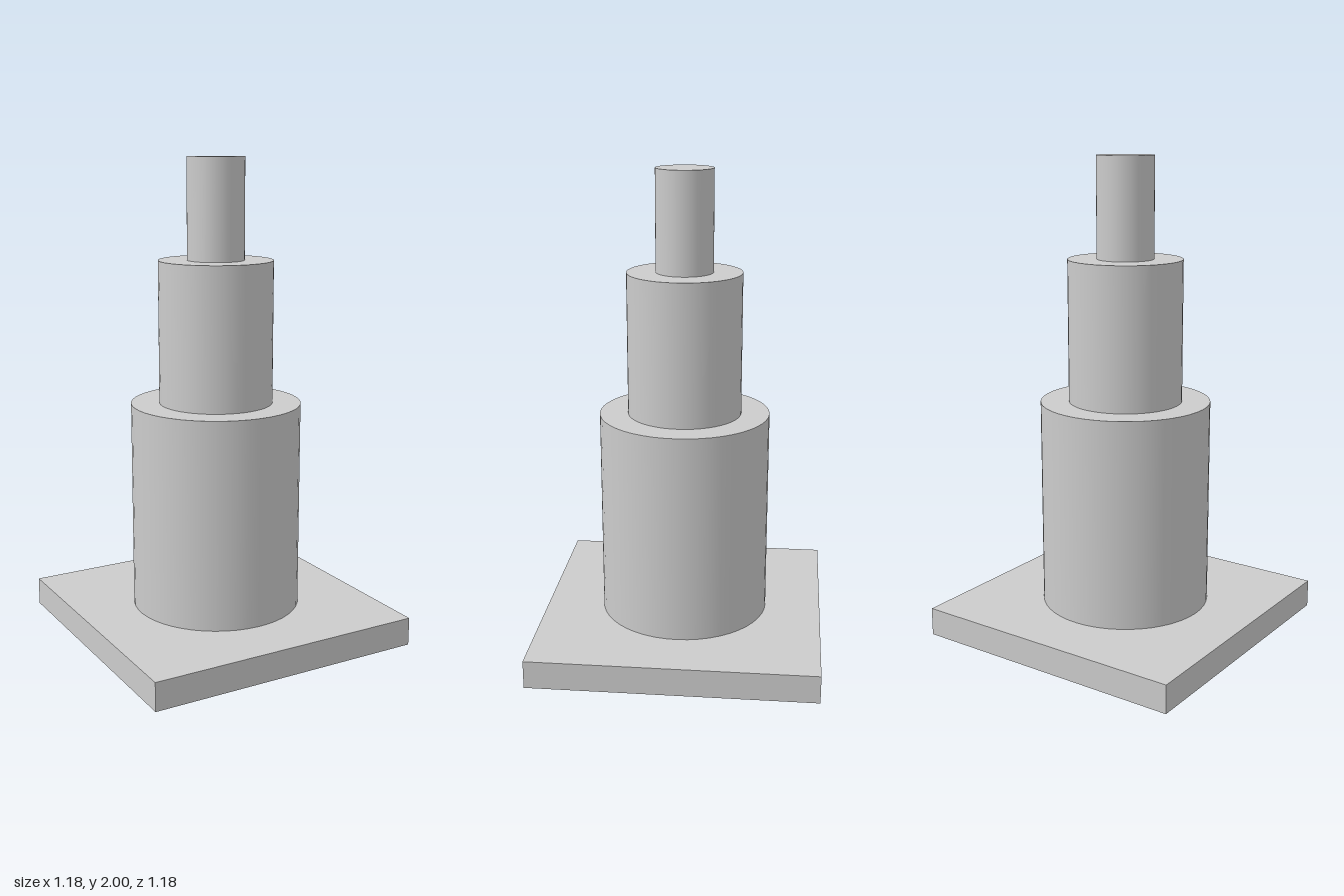
import * as THREE from 'three';

const material = new THREE.MeshStandardMaterial({ color: 0xcccccc });

export function createModel() {
  const model = new THREE.Group();
  model.name = 'steppedColumn';
  let top = 0;

  // Places each part on top of the previous one
  const stack = (name, geometry, height) => {
    const mesh = new THREE.Mesh(geometry, material);
    mesh.name = name;
    mesh.position.y = top + height / 2;
    top += height;
    model.add(mesh);
  };

  // Square base plate
  stack('basePlate', new THREE.BoxGeometry(1.183, 0.118, 1.183), 0.118);

  // Three cylindrical tiers, narrowing upwards: name, radius, height
  const tiers = [
    ['lowerTier', 0.355, 0.876],
    ['middleTier', 0.237, 0.592],
    ['upperTier', 0.118, 0.414],
  ];
  for (const [name, radius, height] of tiers) {
    stack(name, new THREE.CylinderGeometry(radius, radius, height, 48), height);
  }

  return model;
}
